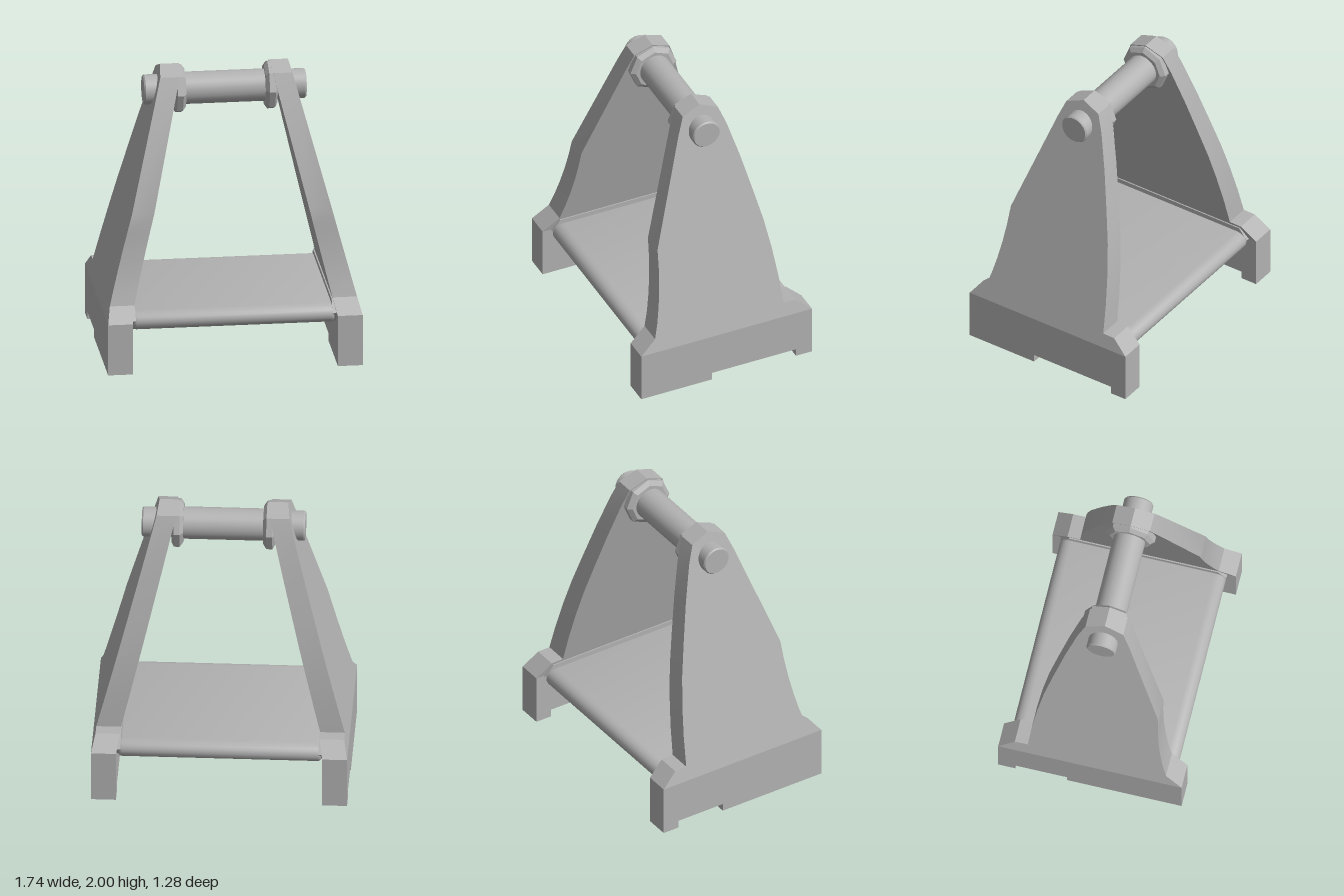
import * as THREE from 'three';
import { toCreasedNormals } from 'three/addons/utils/BufferGeometryUtils.js';

const metal = new THREE.MeshStandardMaterial({ color: 0xb2b2b2 });
metal.name = 'plain grey metal';

const PIN_Y = 1.82;

function add(group, name, geometry, crease = 0.35) {
  const mesh = new THREE.Mesh(toCreasedNormals(geometry, crease), metal);
  mesh.name = name;
  group.add(mesh);
}

// Extrudes a (z, y) outline sideways between two x positions that depend on height.
function sidePrism(shape, side, inner, outer) {
  const g = new THREE.ExtrudeGeometry(shape, { depth: 1, bevelEnabled: false, curveSegments: 16 });
  const p = g.attributes.position;
  for (let i = 0; i < p.count; i++) {
    const z = p.getX(i), y = p.getY(i);
    const t = side < 0 ? p.getZ(i) : 1 - p.getZ(i);
    p.setXYZ(i, side * THREE.MathUtils.lerp(inner(y), outer(y), t), y, z);
  }
  g.computeVertexNormals();
  return g;
}

const polygon = (pts) => new THREE.Shape(pts.map(([z, y]) => new THREE.Vector2(z, y)));

// Lathe around the x axis; points are [distance along x, radius].
function turned(points, segments, side = 1) {
  const g = new THREE.LatheGeometry(points.map(([x, r]) => new THREE.Vector2(r, x)), segments);
  return g.rotateZ(-side * Math.PI / 2).translate(0, PIN_Y, 0);
}

// Leaning plate with shoulders at the foot and a faceted head
function armShape() {
  return polygon([
    [0.64, 0.36], [0.525, 0.455], [0.495, 0.56], [0.47, 0.68], [0.45, 0.81], [0.437, 0.94], [0.43, 1.07],
    [0.18, 1.82], [0.132, 1.945], [0, 2], [-0.132, 1.945], [-0.18, 1.82],
    [-0.25, 1.57], [-0.315, 1.3], [-0.365, 1.08], [-0.4, 0.87], [-0.425, 0.66], [-0.44, 0.458],
    [-0.53, 0.455], [-0.64, 0.36],
  ]);
}

// Base rail with a shallow cutout underneath
function railShape(cutEnd) {
  return polygon([
    [-0.64, 0], [-0.52, 0], [-0.52, 0.055], [cutEnd, 0.055], [cutEnd, 0],
    [0.64, 0], [0.64, 0.36], [-0.64, 0.36],
  ]);
}

// Thin flange that carries the end of the tread, curved along its lower edge
function flangeShape() {
  const s = new THREE.Shape();
  s.moveTo(0.52, 0.44);
  s.lineTo(-0.52, 0.44);
  s.lineTo(-0.58, 0.36);
  s.bezierCurveTo(-0.5, 0.24, -0.3, 0.2, 0, 0.2);
  s.bezierCurveTo(0.3, 0.2, 0.5, 0.24, 0.58, 0.36);
  return s;
}

// Flat tread with rounded front, back and ends
function treadGeometry() {
  const bevel = 0.025, length = 1.38;
  const hz = 0.582 - bevel, hy = 0.065 - bevel;
  const s = new THREE.Shape();
  s.moveTo(-hz + 0.06, -hy);
  s.lineTo(hz - 0.06, -hy);
  s.bezierCurveTo(hz + 0.015, -hy, hz + 0.015, hy, hz - 0.06, hy);
  s.lineTo(-hz + 0.06, hy);
  s.bezierCurveTo(-hz - 0.015, hy, -hz - 0.015, -hy, -hz + 0.06, -hy);
  const g = new THREE.ExtrudeGeometry(s, {
    depth: length - 2 * bevel, bevelThickness: bevel, bevelSize: bevel, bevelSegments: 3, curveSegments: 12,
  });
  return g.translate(0, 0, -length / 2 + bevel).rotateY(Math.PI / 2).translate(0, 0.345, 0);
}

export function createModel() {
  const model = new THREE.Group();
  model.name = 'stirrup';

  for (const side of [1, -1]) {
    const label = side > 0 ? 'left' : 'right';
    add(model, label + 'Arm', sidePrism(armShape(), side,
      (y) => 0.7 - (y - 0.36) * 0.24,
      (y) => 0.87 - (y - 0.36) * 0.264));
    add(model, label + 'Rail', sidePrism(railShape(side > 0 ? 0.11 : -0.16), side, () => 0.7, () => 0.87));
    add(model, label + 'Flange', sidePrism(flangeShape(), side, () => 0.672, () => 0.72));
    // Eight-sided boss around the crossbar on the inner face
    add(model, label + 'Boss', turned([
      [0.272, 0], [0.272, 0.14], [0.295, 0.172], [0.335, 0.172], [0.352, 0.14], [0.36, 0],
    ], 8, side), 0.1);
  }

  // Crossbar with narrower ends passing through the heads
  add(model, 'crossbar', turned([
    [-0.555, 0], [-0.555, 0.094], [-0.545, 0.102], [-0.3, 0.102], [-0.3, 0.11],
    [0.3, 0.11], [0.3, 0.102], [0.545, 0.102], [0.555, 0.094], [0.555, 0],
  ], 40), 0.5);

  add(model, 'tread', treadGeometry(), 0.7);
  return model;
}
